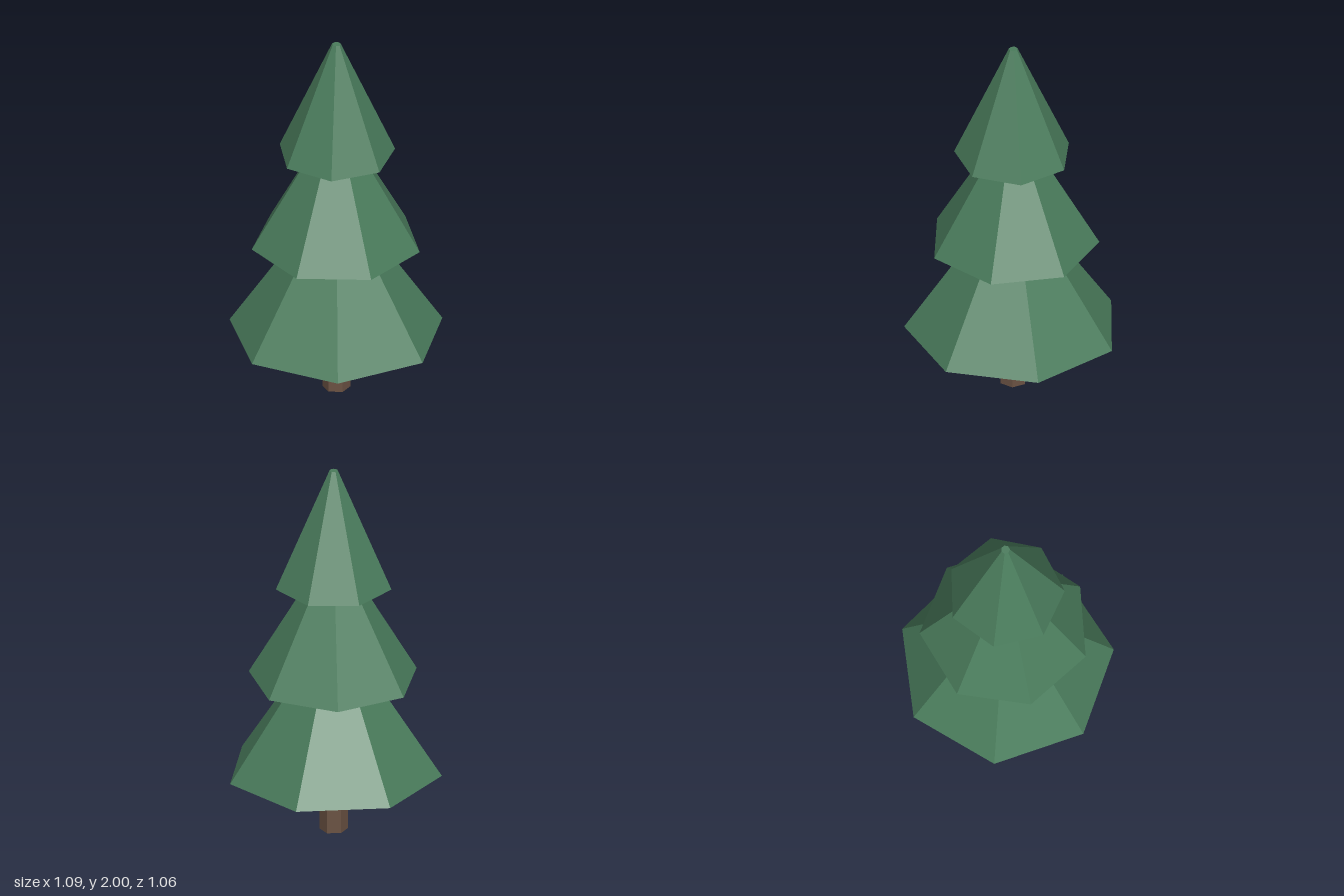
import * as THREE from 'three';

export function createModel() {
  const needles = new THREE.MeshStandardMaterial({ color: 0x4a7c5c, flatShading: true });
  needles.name = 'needleGreen';
  const bark = new THREE.MeshStandardMaterial({ color: 0x6b5243, flatShading: true });
  bark.name = 'barkBrown';

  const tree = new THREE.Group();
  tree.name = 'pineTree';

  // Tapered prism standing on height y, turned by an angle in degrees
  function addPrism(name, material, sides, y, height, bottomRadius, topRadius, turn) {
    const geometry = new THREE.CylinderGeometry(topRadius, bottomRadius, height, sides);
    const mesh = new THREE.Mesh(geometry, material);
    mesh.name = name;
    mesh.position.set(0, y + height / 2, 0.025);
    mesh.rotation.y = THREE.MathUtils.degToRad(turn);
    tree.add(mesh);
  }

  // Six-sided trunk, reaching slightly into the foliage
  addPrism('trunk', bark, 6, 0, 0.4, 0.072, 0.072, 0);

  // Seven-sided foliage tiers, each one tucked into the tier above
  addPrism('lowerFoliage', needles, 7, 0.325, 0.635, 0.557, 0.135, 180);
  addPrism('middleFoliage', needles, 7, 0.845, 0.635, 0.44, 0.07, -2.65);
  addPrism('upperFoliage', needles, 7, 1.365, 0.635, 0.303, 0.023, 20.1);

  return tree;
}
